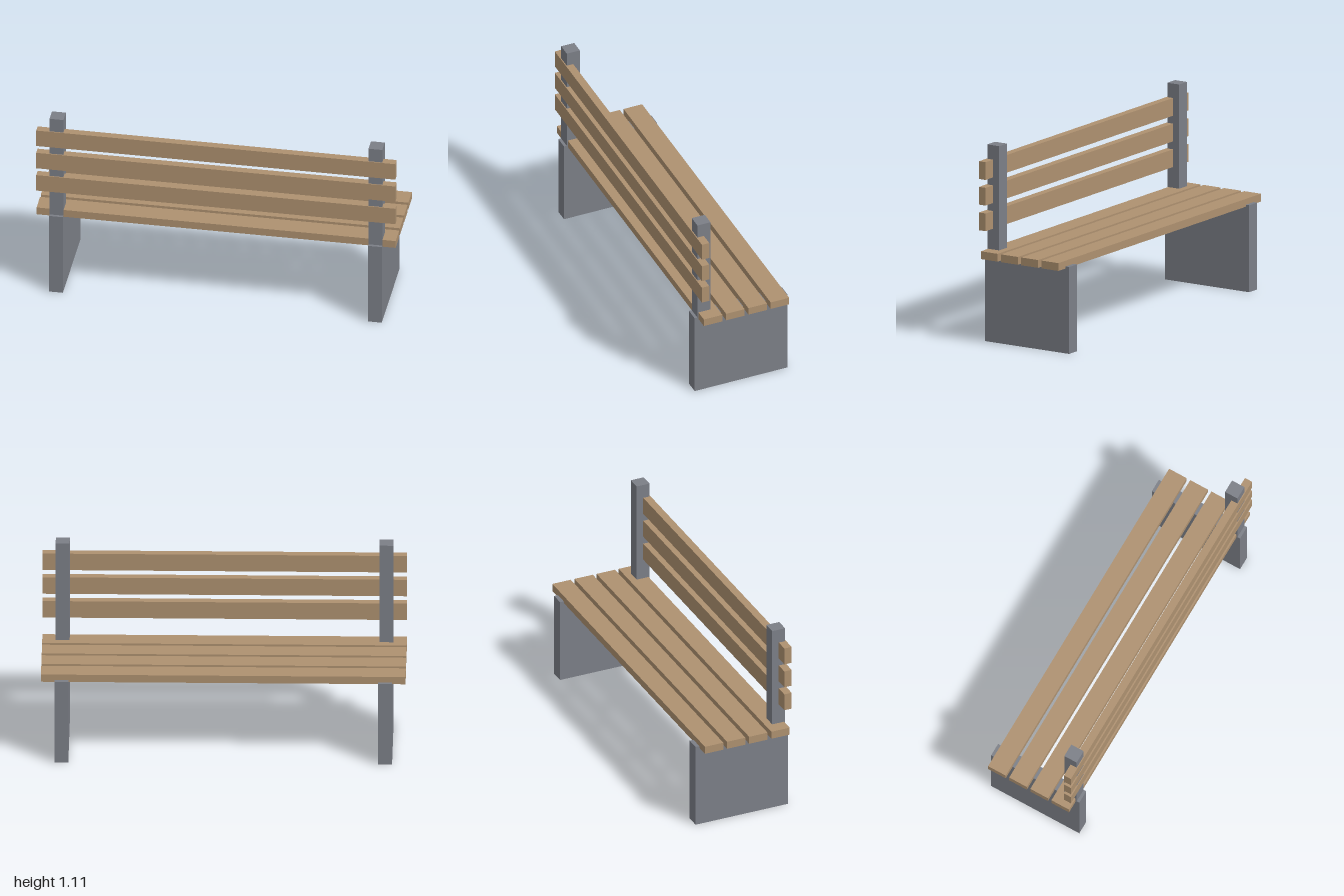
import * as THREE from 'three';

export function createModel() {
  const bench = new THREE.Group();
  bench.name = 'bench';
  const wood = new THREE.MeshStandardMaterial({ color: 0xae9170 });
  const metal = new THREE.MeshStandardMaterial({ color: 0x7c7f87 });

  // Box of size [w, h, d] centred on (x, y, z)
  function addBox(name, [w, h, d], x, y, z, material) {
    const mesh = new THREE.Mesh(new THREE.BoxGeometry(w, h, d), material);
    mesh.name = name;
    mesh.position.set(x, y, z);
    bench.add(mesh);
  }

  // Slab legs, each with a backrest post standing on it
  const legHeight = 0.49, postTop = 1.11, thickness = 0.077;
  const postHeight = postTop - legHeight;
  for (const [side, s] of [['left', 1], ['right', -1]]) {
    const x = s * 0.888;
    addBox(side + 'Leg', [thickness, legHeight, 0.557], x, legHeight / 2, 0, metal);
    addBox(side + 'BackPost', [thickness, postHeight, 0.078], x, legHeight + postHeight / 2, 0.223, metal);
  }

  // Four seat slats, sunk slightly into the legs
  for (let i = 0; i < 4; i++) {
    addBox('seatSlat' + (i + 1), [2, 0.044, 0.111], 0, 0.501, (i - 1.5) * 0.1335, wood);
  }

  // Three backrest slats, let into the outer faces of the posts
  for (let i = 0; i < 3; i++) {
    addBox('backSlat' + (i + 1), [2, 0.1, 0.044], 0, 0.69 + i * 0.1445, 0.2455, wood);
  }

  return bench;
}
